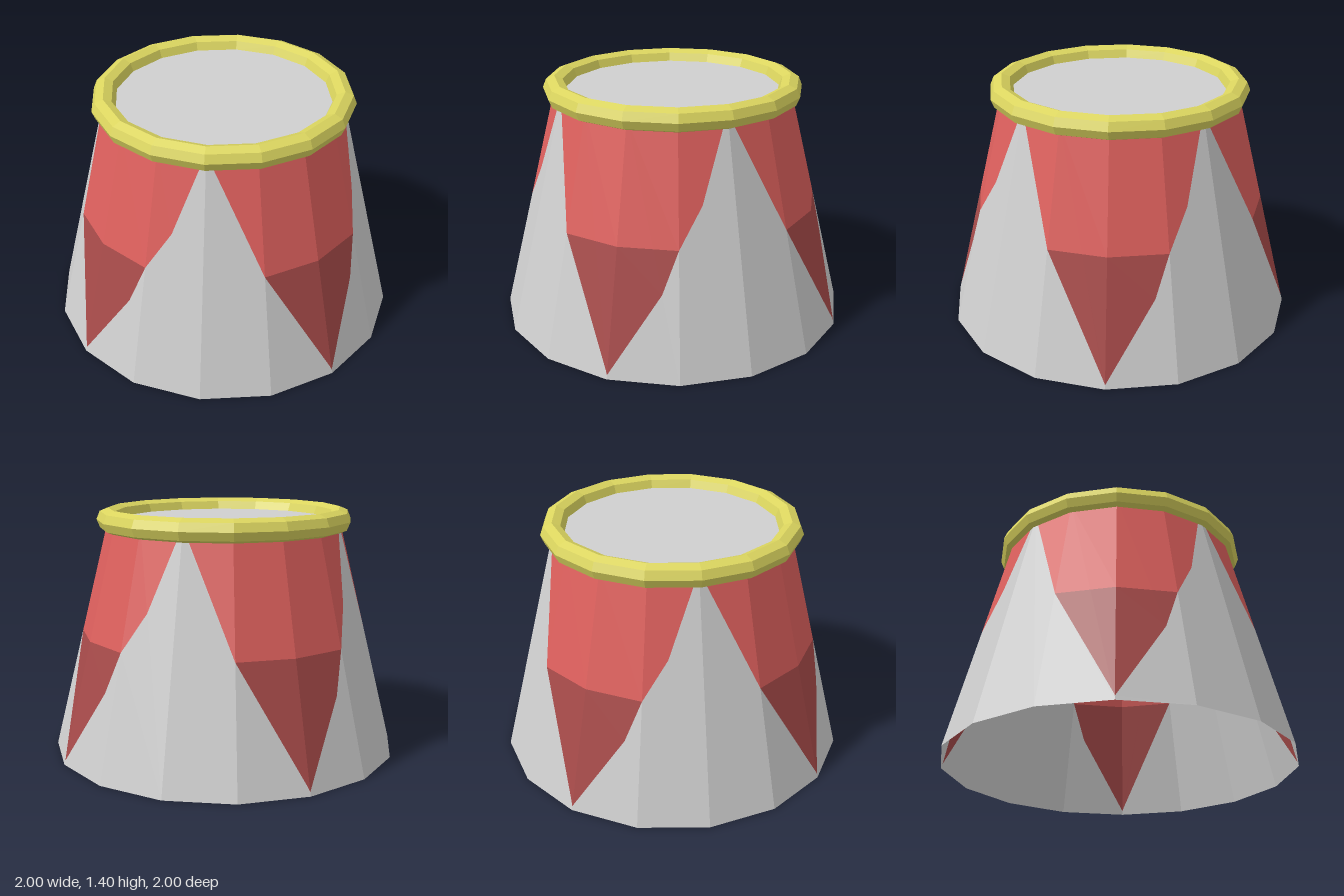
import * as THREE from 'three';

const SIDES = 16, HEIGHT = 1.335, R_BOTTOM = 1, R_TOP = 0.667;
const OFFSET = 0.017; // lowers or lifts the painted border slightly
const DOUBLE = THREE.DoubleSide;

const materials = {
  paleGrey: new THREE.MeshStandardMaterial({ name: 'paleGrey', color: 0xd0d0d0, side: DOUBLE }),
  red: new THREE.MeshStandardMaterial({ name: 'red', color: 0xde605d, side: DOUBLE }),
  darkRed: new THREE.MeshStandardMaterial({ name: 'darkRed', color: 0xa84b4a, side: DOUBLE }),
  yellow: new THREE.MeshStandardMaterial({ name: 'yellow', color: 0xdbd55f }),
};

// Keep the part of a polygon where inside(p) >= 0; points are [x, y, z, s, v]
function clip(poly, inside) {
  const out = [];
  poly.forEach((a, i) => {
    const b = poly[(i + 1) % poly.length];
    const da = inside(a), db = inside(b);
    if (da >= 0) out.push(a);
    if (da * db < 0) out.push(a.map((n, k) => n + (b[k] - n) * da / (da - db)));
  });
  return out;
}

// Wall corner: s counts wall faces from the panel centre, v is 0 at the foot and 1 at the rim
function corner(centre, s, v) {
  const angle = centre + s * Math.PI * 2 / SIDES;
  const r = R_BOTTOM + (R_TOP - R_BOTTOM) * v;
  return [r * Math.sin(angle), HEIGHT * v, r * Math.cos(angle), s, v];
}

function polygonsToMesh(name, polygons, material) {
  const positions = [];
  for (const p of polygons) {
    for (let i = 1; i < p.length - 1; i++) {
      for (const q of [p[0], p[i], p[i + 1]]) positions.push(q[0], q[1], q[2]);
    }
  }
  const geometry = new THREE.BufferGeometry();
  geometry.setAttribute('position', new THREE.Float32BufferAttribute(positions, 3));
  geometry.computeVertexNormals();
  const mesh = new THREE.Mesh(geometry, material);
  mesh.name = name;
  return mesh;
}

// One quarter of the wall, with a pointed red pennant on pale grey
function wallQuarter(index) {
  const centre = Math.PI / 4 + index * Math.PI / 2;
  const grey = [], upper = [], lower = [];
  const pennant = p => p[4] - Math.abs(p[3]) / 2 - OFFSET;
  const half = p => p[4] - 0.5 - OFFSET;
  for (let s = -2; s < 2; s++) {
    const bl = corner(centre, s, 0), br = corner(centre, s + 1, 0);
    const tl = corner(centre, s, 1), tr = corner(centre, s + 1, 1);
    for (const triangle of [[tl, bl, br], [tl, br, tr]]) {
      grey.push(clip(triangle, p => -pennant(p)));
      const painted = clip(triangle, pennant);
      upper.push(clip(painted, half));
      lower.push(clip(painted, p => -half(p)));
    }
  }
  const group = new THREE.Group();
  group.name = 'wallQuarter' + (index + 1);
  group.add(
    polygonsToMesh('wall', grey, materials.paleGrey),
    polygonsToMesh('pennantTop', upper, materials.red),
    polygonsToMesh('pennantTip', lower, materials.darkRed),
  );
  return group;
}

export function createModel() {
  const model = new THREE.Group();
  model.name = 'pedestal';
  for (let i = 0; i < 4; i++) model.add(wallQuarter(i));

  // Flat standing surface
  const top = new THREE.Mesh(new THREE.CircleGeometry(R_TOP, SIDES).rotateX(-Math.PI / 2), materials.paleGrey);
  top.name = 'topSurface';
  top.position.y = HEIGHT;
  model.add(top);

  // Faceted rim ring
  const ring = new THREE.TorusGeometry(R_TOP, 0.066, 8, SIDES).rotateX(Math.PI / 2).toNonIndexed();
  ring.computeVertexNormals();
  const rim = new THREE.Mesh(ring, materials.yellow);
  rim.name = 'rim';
  rim.position.y = HEIGHT;
  model.add(rim);
  return model;
}
